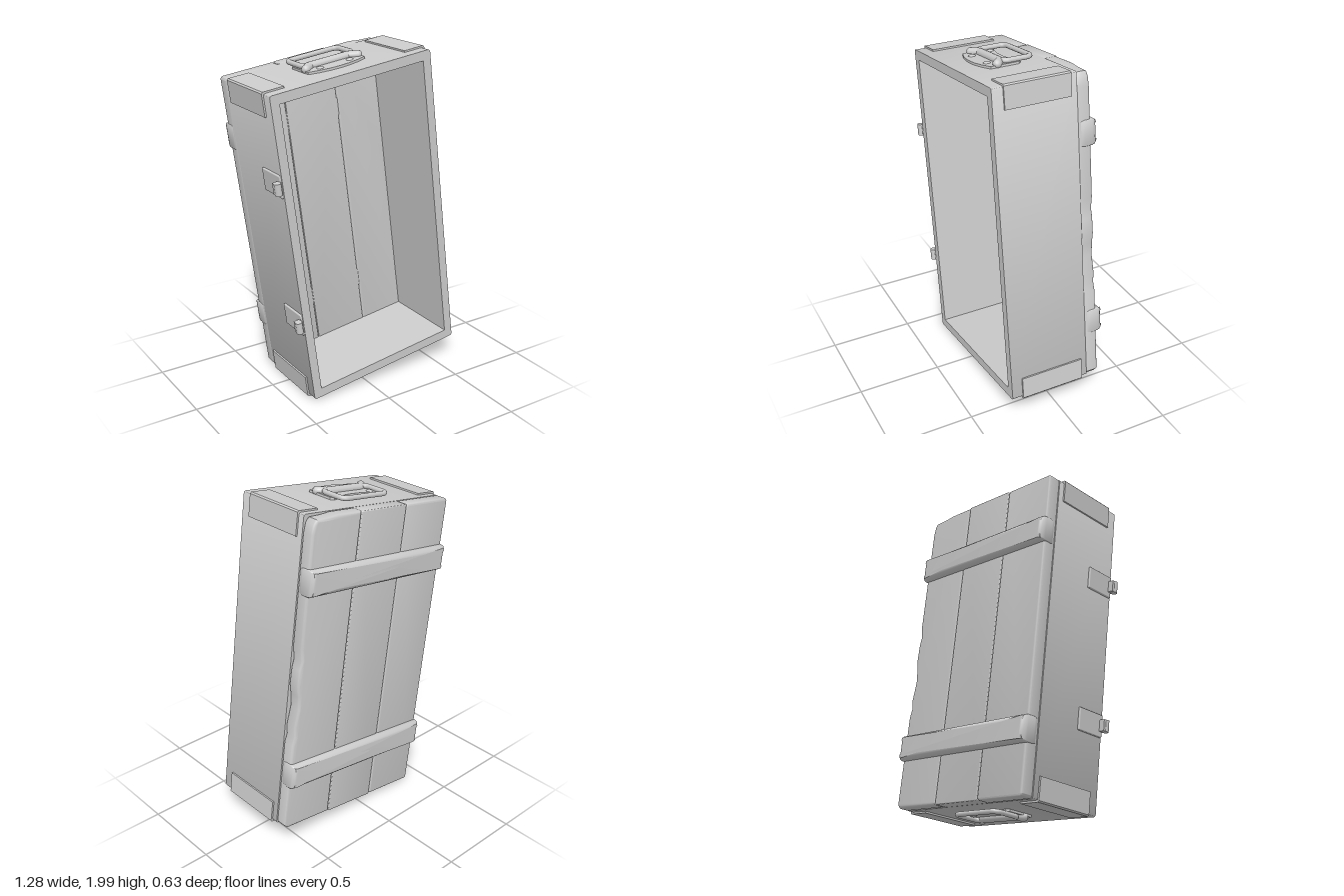
import * as THREE from 'three';
import { toCreasedNormals } from 'three/addons/utils/BufferGeometryUtils.js';
import { RoundedBoxGeometry } from 'three/addons/geometries/RoundedBoxGeometry.js';

const W = 0.51, H = 0.925; // half width and half height of the crate

const shapeOf = (points) => new THREE.Shape(points.map(([x, y]) => new THREE.Vector2(x, y)));

// Rectangle outline with rounded corners
function roundedRect(w, h, r) {
  const s = new THREE.Shape();
  s.absarc(w - r, h - r, r, 0, Math.PI / 2);
  s.absarc(-w + r, h - r, r, Math.PI / 2, Math.PI);
  s.absarc(-w + r, -h + r, r, Math.PI, Math.PI * 1.5);
  s.absarc(w - r, -h + r, r, Math.PI * 1.5, Math.PI * 2);
  s.closePath();
  return s;
}

// Extrusion from z0 to z1, with an optional soft bevel inside the outline
function slab(shape, z0, z1, bevel = 0) {
  const geo = new THREE.ExtrudeGeometry(shape, {
    depth: z1 - z0 - 2 * bevel, curveSegments: 6,
    bevelEnabled: bevel > 0, bevelThickness: bevel, bevelSize: bevel,
    bevelOffset: -bevel, bevelSegments: 3,
  });
  geo.translate(0, 0, z0 + bevel);
  return toCreasedNormals(geo, 0.7);
}

export function createModel() {
  const model = new THREE.Group();
  model.name = 'crate';
  const body = new THREE.Group();
  body.name = 'tiltedCrate';
  body.position.y = 1;
  body.rotation.z = 0.134;
  model.add(body);

  const grey = new THREE.MeshStandardMaterial({ color: 0xcccccc });
  grey.name = 'plainGrey';
  const add = (parent, name, geo, x = 0, y = 0, z = 0) => {
    const mesh = new THREE.Mesh(geo, grey);
    mesh.name = name;
    mesh.position.set(x, y, z);
    parent.add(mesh);
    return mesh;
  };

  // Four walls as one open frame
  const frame = roundedRect(W, H, 0.015);
  const iw = W - 0.052, ih = H - 0.055;
  frame.holes.push(new THREE.Path([[-iw, -ih], [-iw, ih], [iw, ih], [iw, -ih]].map(p => new THREE.Vector2(...p))));
  add(body, 'walls', slab(frame, -0.197, 0.295));

  // Three bottom planks, with worn notches on the outer edge of one
  const pw = W / 3 - 0.001;
  const worn = [
    [pw, -H + 0.02], [pw, -0.38], [pw - 0.012, -0.33], [pw - 0.004, -0.27], [pw - 0.02, -0.16],
    [pw - 0.012, -0.08], [pw, -0.02], [pw - 0.003, 0.08], [pw - 0.013, 0.13], [pw, 0.2],
    [pw, H - 0.09], [pw - 0.008, H - 0.04], [pw - 0.025, H - 0.012], [0.06, H - 0.008],
    [0, H], [-pw, H], [-pw, -H], [pw - 0.02, -H],
  ];
  add(body, 'plankLeft', slab(shapeOf(worn), -0.275, -0.195, 0.016), W * 2 / 3);
  add(body, 'plankMiddle', slab(roundedRect(pw, H, 0.006), -0.275, -0.195, 0.005));
  add(body, 'plankRight', slab(roundedRect(pw, H, 0.018), -0.275, -0.195, 0.012), -W * 2 / 3);

  // Two battens across the planks
  for (const y of [0.578, -0.572]) {
    add(body, 'batten', slab(roundedRect(0.515, 0.075, 0.012), -0.312, -0.2, 0.032), 0, y);
  }

  // L-shaped metal plates on the four corners
  const arm = 0.135, t = 0.01;
  for (const sx of [-1, 1]) for (const sy of [-1, 1]) {
    const X = W + t, Y = H + t;
    const outline = [
      [X - arm, Y], [X - 0.008, Y], [X, Y - 0.008], [X, Y - arm],
      [X - t - 0.002, Y - arm], [X - t - 0.002, Y - t - 0.002], [X - arm, Y - t - 0.002],
    ];
    add(body, 'cornerPlate', slab(shapeOf(outline.map(([x, y]) => [x * sx, y * sy])), -0.16, 0.23));
  }

  // Two hinges on one long side
  for (const y of [0.425, -0.42]) {
    const hinge = new THREE.Group();
    hinge.name = 'hinge';
    hinge.position.set(-W, y, 0);
    body.add(hinge);
    add(hinge, 'hingePlate', new RoundedBoxGeometry(0.018, 0.13, 0.19, 2, 0.006), -0.003, 0, 0.195);
    add(hinge, 'hingeKnuckle', new THREE.CylinderGeometry(0.02, 0.02, 0.068, 16), -0.03, 0, 0.295);
    add(hinge, 'hingeTab', new THREE.BoxGeometry(0.04, 0.066, 0.03), -0.025, 0, 0.28);
  }

  // Handle lying flat on an end wall: plate, rivets, sleeve and bail
  function makeHandle() {
    const g = new THREE.Group();
    g.name = 'handle';
    const s = new THREE.Shape();
    s.moveTo(-0.165, 0.05);
    s.quadraticCurveTo(0, -0.01, 0.165, 0.05);
    s.lineTo(0.182, 0.035);
    s.lineTo(0.182, -0.135);
    s.quadraticCurveTo(0, -0.212, -0.182, -0.135);
    s.lineTo(-0.182, 0.035);
    s.closePath();
    add(g, 'handlePlate', slab(s, -0.002, 0.013).rotateX(-Math.PI / 2));

    for (const side of [-1, 1]) for (const [x, z] of [[0.135, -0.015], [0.095, 0.117]]) {
      const rivet = add(g, 'rivet', new THREE.SphereGeometry(0.021, 14, 6, 0, Math.PI * 2, 0, Math.PI / 2), side * x, 0.012, z);
      rivet.scale.y = 0.45;
    }

    const sleeve = new THREE.CurvePath();
    const pts = [[-0.168, 0.09], [-0.125, 0.055], [0.125, 0.055], [0.168, 0.09]]
      .map(([x, z]) => new THREE.Vector3(x, 0.018, z));
    for (let i = 0; i < 3; i++) sleeve.add(new THREE.LineCurve3(pts[i], pts[i + 1]));
    add(g, 'handleSleeve', new THREE.TubeGeometry(sleeve, 36, 0.025, 12));
    for (const p of [pts[0], pts[3]]) add(g, 'sleeveEnd', new THREE.SphereGeometry(0.025, 12, 8), p.x, p.y, p.z);

    const ring = roundedRect(0.165, 0.088, 0.035).getSpacedPoints(60).slice(0, -1)
      .map(p => new THREE.Vector3(p.x, 0.026, -p.y - 0.035));
    add(g, 'handleBail', new THREE.TubeGeometry(new THREE.CatmullRomCurve3(ring, true), 90, 0.015, 10, true));
    return g;
  }
  for (const side of [1, -1]) {
    const handle = makeHandle();
    handle.position.y = side * H;
    if (side < 0) handle.rotation.z = Math.PI;
    body.add(handle);
  }

  return model;
}
